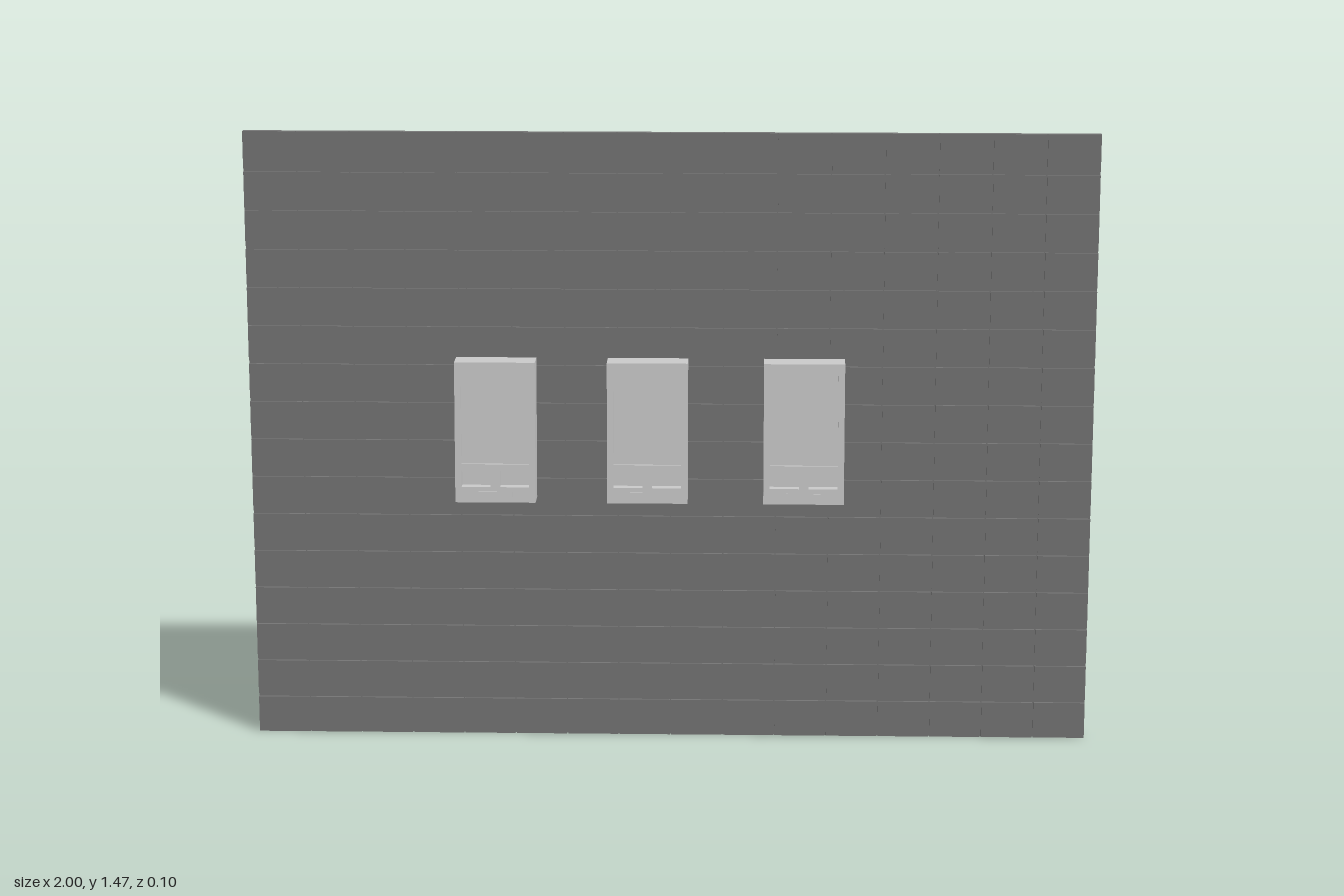
import * as THREE from 'three';
import { mergeGeometries } from 'three/addons/utils/BufferGeometryUtils.js';

const grey = new THREE.MeshStandardMaterial({ color: 0xcccccc, flatShading: true });
const dark = new THREE.MeshStandardMaterial({ color: 0x777777, flatShading: true });

const W = 2, H = 1.47, BACK = -0.05, FRONT = -0.034;
const KW = 0.19, KH = 0.335, KY = 0.6, LEAN = 0.05;

function add(parent, name, geometry, material) {
  const mesh = new THREE.Mesh(geometry, material);
  mesh.name = name;
  parent.add(mesh);
  return mesh;
}

// Box given by its minimum and maximum corners
function box(x0, x1, y0, y1, z0, z1) {
  return new THREE.BoxGeometry(x1 - x0, y1 - y0, z1 - z0)
    .translate((x0 + x1) / 2, (y0 + y1) / 2, (z0 + z1) / 2);
}

// Lean a kiosk part back: depth shifts with height, top and bottom stay level
function lean(geometry) {
  const p = geometry.attributes.position;
  for (let i = 0; i < p.count; i++) p.setZ(i, p.getZ(i) - LEAN * p.getY(i));
  geometry.computeVertexNormals();
  return geometry;
}

function rect(target, x0, x1, y0, y1) {
  target.moveTo(x0, y0).lineTo(x1, y0).lineTo(x1, y1).lineTo(x0, y1).closePath();
  return target;
}

function createWall() {
  const wall = new THREE.Group();
  wall.name = 'wall';
  add(wall, 'wallBacking', box(-W / 2, W / 2, 0, H, BACK, FRONT - 0.006), dark);
  // Grid of tiles separated by wide horizontal and narrow vertical grooves
  const n = 16, pw = W / n, ph = H / n, gx = 0.003, gy = 0.008;
  const tiles = [];
  for (let r = 0; r < n; r++) {
    for (let c = 0; c < n; c++) {
      const x0 = -W / 2 + c * pw + (c ? gx / 2 : 0);
      const x1 = -W / 2 + (c + 1) * pw - (c < n - 1 ? gx / 2 : 0);
      const y0 = r * ph + (r ? gy / 2 : 0);
      const y1 = (r + 1) * ph - (r < n - 1 ? gy / 2 : 0);
      tiles.push(box(x0, x1, y0, y1, FRONT - 0.006, FRONT));
    }
  }
  add(wall, 'wallTiles', mergeGeometries(tiles), dark);
  return wall;
}

function createKiosk(x) {
  const kiosk = new THREE.Group();
  kiosk.name = 'kiosk';
  const h = KW / 2, zBack = -0.013, zFront = 0.047, zPocket = 0.025;
  const slots = [[-0.08, -0.011], [0.011, 0.08]];

  // Front frame, pierced by the screen opening and two slots
  const face = rect(new THREE.Shape(), -h, h, 0, KH);
  face.holes.push(rect(new THREE.Path(), -0.08, 0.08, 0.092, 0.318));
  for (const [a, b] of slots) face.holes.push(rect(new THREE.Path(), a, b, 0.037, 0.076));
  const frame = new THREE.ExtrudeGeometry(face, { depth: zFront - zPocket, bevelEnabled: false });
  add(kiosk, 'kioskFrame', lean(frame.translate(0, 0, zPocket)), grey);
  add(kiosk, 'kioskBody', lean(box(-h, h, 0, KH, zBack, zPocket)), grey);

  // Screen set slightly back from the frame
  add(kiosk, 'screen', lean(box(-0.08, 0.08, 0.092, 0.318, zPocket, zFront - 0.006)), grey);

  // Plain raised strip under the slots
  add(kiosk, 'trimStrip', lean(box(-0.04, 0.04, 0.014, 0.026, zFront, zFront + 0.003)), grey);

  // Brackets reaching back to the wall
  add(kiosk, 'lowerBracket', box(-0.05, 0.05, 0.028, 0.088, FRONT, -0.01), grey);
  add(kiosk, 'upperBracket', box(-0.05, 0.05, 0.175, 0.24, FRONT, -0.015), grey);

  kiosk.position.set(x, KY, 0);
  return kiosk;
}

export function createModel() {
  const model = new THREE.Group();
  model.name = 'kioskWall';
  model.add(createWall());
  for (const x of [-0.412, -0.053, 0.316]) model.add(createKiosk(x));
  return model;
}
